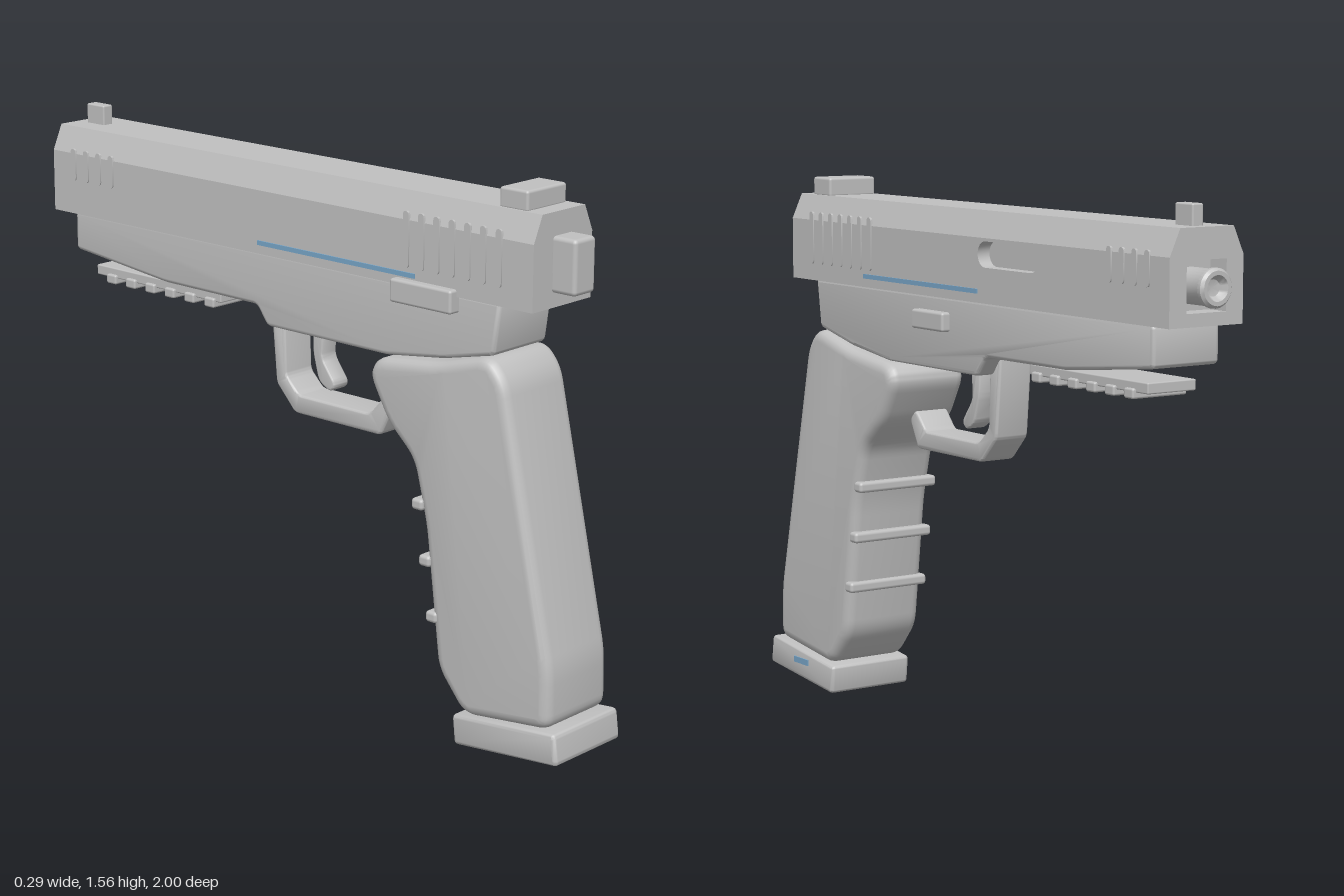
import * as THREE from 'three';
import { toCreasedNormals } from 'three/addons/utils/BufferGeometryUtils.js';
import { RoundedBoxGeometry } from 'three/addons/geometries/RoundedBoxGeometry.js';

const grey = new THREE.MeshStandardMaterial({ color: 0xc0c0c0 });
grey.name = 'body grey';
const blue = new THREE.MeshStandardMaterial({ color: 0x78a6c8 });
blue.name = 'accent blue';

// Closed path with corners rounded by r
function roundedPath(points, r, path = new THREE.Shape()) {
  const p = points.map(([a, b]) => new THREE.Vector2(a, b));
  p.forEach((c, i) => {
    const prev = p[(i + p.length - 1) % p.length];
    const next = p[(i + 1) % p.length];
    const toward = (q) => {
      const d = q.clone().sub(c);
      return c.clone().addScaledVector(d, Math.min(r, d.length() * 0.45) / d.length());
    };
    const a = toward(prev), b = toward(next);
    if (i === 0) path.moveTo(a.x, a.y);
    else path.lineTo(a.x, a.y);
    if (r > 0) path.quadraticCurveTo(c.x, c.y, b.x, b.y);
  });
  path.closePath();
  return path;
}

// Capsule outline centred at (a, b)
function capsule(a, b, w, h, path = new THREE.Shape()) {
  const r = Math.min(w, h) / 2, dx = w / 2 - r, dy = h / 2 - r;
  if (dx > dy) {
    path.absarc(a + dx, b, r, -Math.PI / 2, Math.PI / 2, false);
    path.absarc(a - dx, b, r, Math.PI / 2, Math.PI * 1.5, false);
  } else {
    path.absarc(a, b + dy, r, 0, Math.PI, false);
    path.absarc(a, b - dy, r, Math.PI, Math.PI * 2, false);
  }
  path.closePath();
  return path;
}

// Side outline in (z, y), extruded across x from x0 to x1
function sideGeometry(shape, x0, x1, bevel = 0) {
  const geo = new THREE.ExtrudeGeometry(shape, {
    depth: x1 - x0 - 2 * bevel, bevelEnabled: bevel > 0, bevelThickness: bevel,
    bevelSize: bevel, bevelOffset: -bevel, bevelSegments: 4, curveSegments: 6,
  });
  geo.rotateY(-Math.PI / 2);
  geo.translate(x1 - bevel, 0, 0);
  return toCreasedNormals(geo, 0.6);
}

// Cross-section in (x, y), extruded from z0 to z1
function lengthGeometry(shape, z0, z1) {
  const geo = new THREE.ExtrudeGeometry(shape, { depth: z1 - z0, bevelEnabled: false });
  return geo.translate(0, 0, z0);
}

export function createModel() {
  const model = new THREE.Group();
  const add = (name, geo, mat = grey) => {
    const mesh = new THREE.Mesh(geo, mat);
    mesh.name = name;
    model.add(mesh);
    return mesh;
  };
  // Box given by its limits, edges rounded by r
  const box = (name, [x0, x1], [y0, y1], [z0, z1], r = 0.008, mat = grey) => {
    const mesh = add(name, new RoundedBoxGeometry(x1 - x0, y1 - y0, z1 - z0, 2, r), mat);
    mesh.position.set((x0 + x1) / 2, (y0 + y1) / 2, (z0 + z1) / 2);
    return mesh;
  };

  // Slide: core, side wall with the port cut through, and open front end
  const core = roundedPath([[-0.12, 1.25], [0.08, 1.25], [0.08, 1.43], [0.12, 1.43],
    [0.087, 1.503], [-0.087, 1.503], [-0.12, 1.43]], 0);
  add('slideCore', lengthGeometry(core, -0.89, 0.87));
  const wall = roundedPath([[-0.89, 1.25], [0.87, 1.25], [0.87, 1.43], [-0.89, 1.43]], 0);
  wall.holes.push(capsule(-0.253, 1.385, 0.285, 0.072, new THREE.Path()));
  add('slidePortWall', sideGeometry(wall, 0.08, 0.12));
  const nose = roundedPath([[-0.12, 1.25], [0.12, 1.25], [0.12, 1.43],
    [0.087, 1.503], [-0.087, 1.503], [-0.12, 1.43]], 0);
  nose.holes.push(roundedPath([[-0.065, 1.285], [0.065, 1.285], [0.065, 1.42], [-0.065, 1.42]],
    0, new THREE.Path()));
  add('slideNose', lengthGeometry(nose, -0.955, -0.89));

  // Barrel with a hollow end
  const barrelProfile = [[0, 0], [0.048, 0], [0.048, 0.085], [0.052, 0.09], [0.052, 0.102],
    [0.045, 0.11], [0.034, 0.11], [0.03, 0.102], [0.022, 0.09], [0, 0.085]];
  const barrelGeo = new THREE.LatheGeometry(barrelProfile.map(([r, y]) => new THREE.Vector2(r, y)), 28);
  const barrel = add('barrel', toCreasedNormals(barrelGeo, 0.7));
  barrel.rotation.x = -Math.PI / 2;
  barrel.position.set(0, 1.35, -0.89);

  // Grip grooves and blue lines on both sides of the slide
  for (const side of [-1, 1]) {
    const x0 = side > 0 ? 0.117 : -0.124, x1 = x0 + 0.007;
    for (let i = 0; i < 7; i++)
      add('rearSerration', sideGeometry(capsule(0.757 - i * 0.053, 1.377, 0.02, 0.155), x0, x1));
    for (let i = 0; i < 4; i++)
      add('frontSerration', sideGeometry(capsule(-0.707 - i * 0.053, 1.397, 0.02, 0.095), x0, x1));
    const line = add('accentLine', new THREE.BoxGeometry(0.008, 0.013, 0.58), blue);
    line.position.set(side * 0.12, 1.282, 0.18);
  }

  // Sights and rear plate
  box('rearSight', [-0.08, 0.08], [1.498, 1.555], [0.72, 0.815]);
  box('frontSight', [-0.018, 0.018], [1.498, 1.56], [-0.918, -0.845], 0.005);
  box('rearPlate', [-0.043, 0.043], [1.29, 1.44], [0.86, 0.945], 0.012);

  // Frame
  add('frame', sideGeometry(roundedPath([[0.755, 1.255], [0.735, 1.11], [0.56, 1.07], [0.36, 1.043],
    [-0.09, 1.043], [-0.13, 1.098], [-0.5, 1.1], [-0.877, 1.14], [-0.877, 1.255]], 0.015),
  -0.11, 0.11, 0.012));
  box('slideCatch', [0.1, 0.136], [1.155, 1.21], [0.042, 0.2]);
  box('safetyLever', [-0.145, -0.1], [1.205, 1.27], [0.4, 0.615]);

  // Accessory rail
  box('rail', [-0.08, 0.08], [1.067, 1.097], [-0.82, -0.3], 0.004);
  for (let i = 0; i < 6; i++) {
    const z = -0.34 - i * 0.082;
    box('railTooth', [-0.09, 0.09], [1.05, 1.078], [z - 0.02, z + 0.02], 0.006);
  }

  // Trigger and its guard
  add('triggerGuard', sideGeometry(roundedPath([[-0.127, 1.1], [-0.106, 0.865], [-0.035, 0.79],
    [0.292, 0.79], [0.332, 0.872], [0.302, 0.903], [0.25, 0.845], [-0.02, 0.845],
    [-0.068, 0.892], [-0.075, 1.1]], 0.015), -0.055, 0.055, 0.008));
  add('trigger', sideGeometry(roundedPath([[0.055, 1.06], [0.047, 0.96], [0.1, 0.89], [0.08, 0.866],
    [0.035, 0.89], [0.013, 0.97], [0.012, 1.06]], 0.02), -0.03, 0.03, 0.006));

  // Grip with finger ribs
  add('grip', sideGeometry(roundedPath([[0.73, 1.11], [0.55, 1.06], [0.335, 1.035], [0.305, 0.985],
    [0.375, 0.86], [0.47, 0.775], [0.515, 0.6], [0.565, 0.2], [0.66, 0.088], [0.96, 0.125],
    [0.957, 0.29], [0.785, 1.05]], 0.04), -0.13, 0.13, 0.03));
  [[0.495, 0.655], [0.523, 0.5], [0.55, 0.345]].forEach(([z, y]) =>
    box('fingerRib', [-0.135, 0.135], [y - 0.016, y + 0.016], [z - 0.02, z + 0.02], 0.01));

  // Base plate and its blue mark
  add('basePlate', sideGeometry(roundedPath([[0.988, 0.126], [1, 0.038], [0.642, 0.001],
    [0.633, 0.088]], 0.015), -0.139, 0.139, 0.012));
  const mark = add('basePlateMark', new THREE.BoxGeometry(0.008, 0.018, 0.08), blue);
  mark.position.set(0.139, 0.074, 0.813);

  return model;
}
